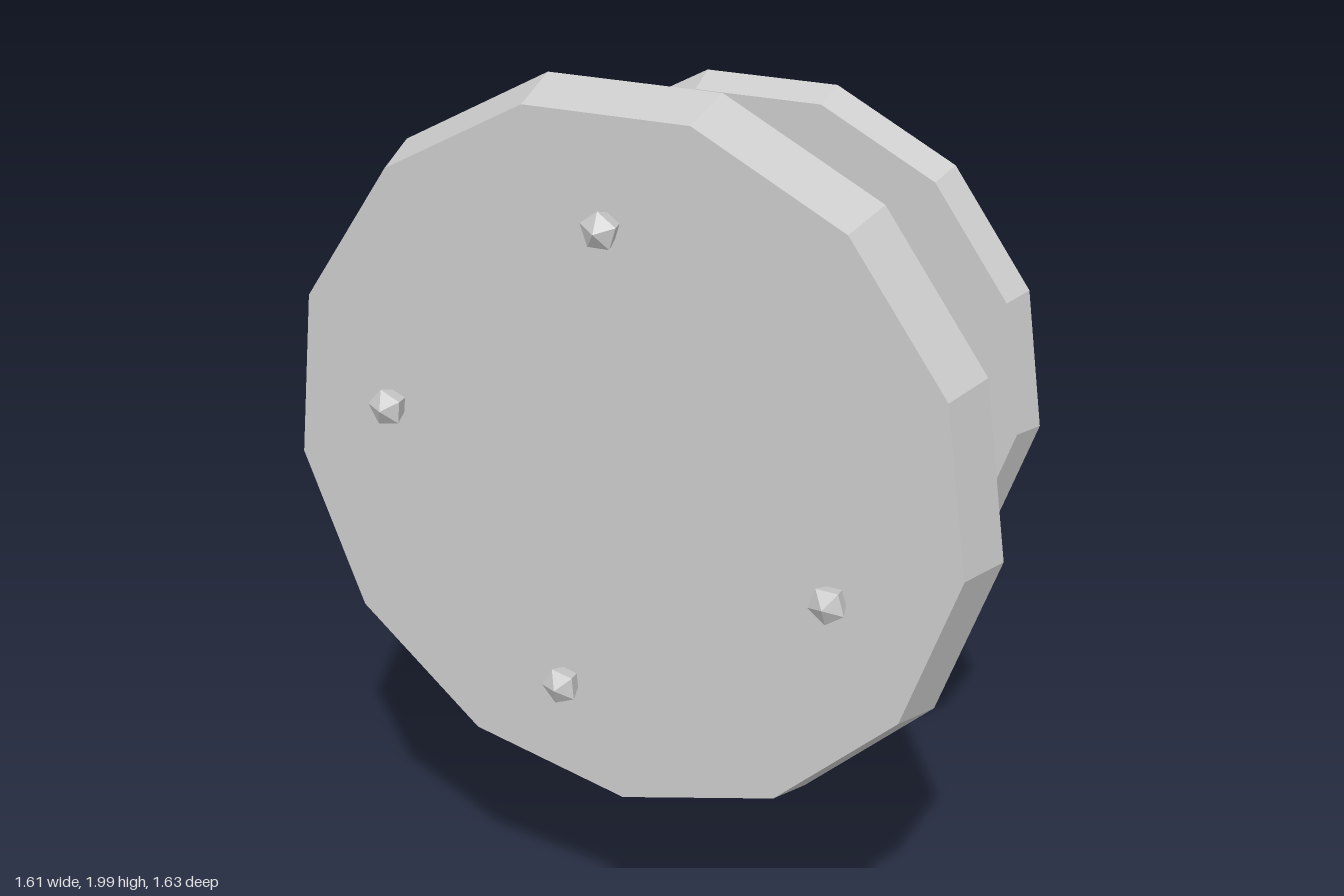
import * as THREE from 'three';
import { toCreasedNormals } from 'three/addons/utils/BufferGeometryUtils.js';

const SIDES = 13;
const AXIS_Y = 1.212;

export function createModel() {
  const group = new THREE.Group();
  const material = new THREE.MeshStandardMaterial({ color: 0xcccccc });

  const add = (name, geometry, x = 0, y = 0) => {
    const mesh = new THREE.Mesh(geometry, material);
    mesh.name = name;
    mesh.position.set(x, y, 0);
    group.add(mesh);
    return mesh;
  };

  // Turned part along z; profile is [z, radius] with z rising
  const turned = (profile, sides = SIDES, crease = 0.3) => {
    const points = profile.map(([z, r]) => new THREE.Vector2(r, z));
    const g = new THREE.LatheGeometry(points, sides).rotateX(Math.PI / 2);
    return toCreasedNormals(g, crease);
  };

  // End plates with bevelled rims
  add('frontPlate', turned([[0.63, 0], [0.63, 0.812], [0.755, 0.776], [0.755, 0]]), 0, AXIS_Y);
  add('backPlate', turned([[-0.02, 0], [-0.02, 0.662], [0.055, 0.635], [0.055, 0]]), 0, AXIS_Y);

  // Waisted spool between the plates
  add('spool', turned([[0.05, 0.452], [0.335, 0.41], [0.635, 0.452]], SIDES, 0.7), 0, AXIS_Y);

  // Posts with pointed nuts, spaced every third side of the plates
  for (let i = 0; i < 4; i++) {
    const angle = Math.PI / 2 + i * 3 * (2 * Math.PI / SIDES);
    const x = 0.528 * Math.cos(angle);
    const y = AXIS_Y + 0.528 * Math.sin(angle);
    const post = add('post', turned([[0.05, 0.028], [0.635, 0.028]], 5), x, y);
    const nut = add('postNut', turned([[0.75, 0.027], [0.795, 0.042], [0.817, 0]], 5), x, y);
    post.rotation.z = nut.rotation.z = angle + Math.PI / 2;
  }

  // Hub and domed cap
  add('hub', turned([[-0.11, 0.2], [-0.015, 0.2]], SIDES, 0.7), 0, AXIS_Y - 0.005);
  add('hubCap', turned([[-0.253, 0], [-0.247, 0.045], [-0.222, 0.11], [-0.172, 0.162]], SIDES, 0.8), 0, AXIS_Y);

  // Crank arm: round head, narrow waist, flared rounded foot
  const rightEdge = [[0, 0.01], [0.08, 0.03], [0.147, 0.095], [0.147, 0.23], [0.122, 0.42], [0.108, 0.6], [0.142, 1.06]];
  const head = [];
  for (let i = 0; i <= 10; i++) {
    const a = -0.45 + i * (Math.PI + 0.9) / 10;
    head.push([0.198 * Math.cos(a), AXIS_Y - 0.007 + 0.198 * Math.sin(a)]);
  }
  const leftEdge = rightEdge.slice(1).reverse().map(([x, y]) => [-x, y]);
  const outline = [...rightEdge, ...head, ...leftEdge].map(([x, y]) => new THREE.Vector2(x, y));
  const arm = new THREE.ExtrudeGeometry(new THREE.Shape(outline), { depth: 1, bevelEnabled: false });
  const pos = arm.attributes.position;
  for (let i = 0; i < pos.count; i++) {
    // Thinner towards the foot
    const t = Math.min(1, pos.getY(i) / 1.0);
    const thickness = THREE.MathUtils.lerp(0.052, 0.085, t);
    pos.setZ(i, -0.1335 + (pos.getZ(i) - 0.5) * thickness);
  }
  add('crankArm', toCreasedNormals(arm, 0.5));

  // Turned grip at the foot of the arm
  add('grip', turned([
    [-0.818, 0], [-0.765, 0.085], [-0.68, 0.126], [-0.6, 0.13], [-0.525, 0.122],
    [-0.45, 0.067], [-0.405, 0.067], [-0.3, 0.112], [-0.15, 0.128],
  ], 10, 0.9), 0, 0.158);

  return group;
}
